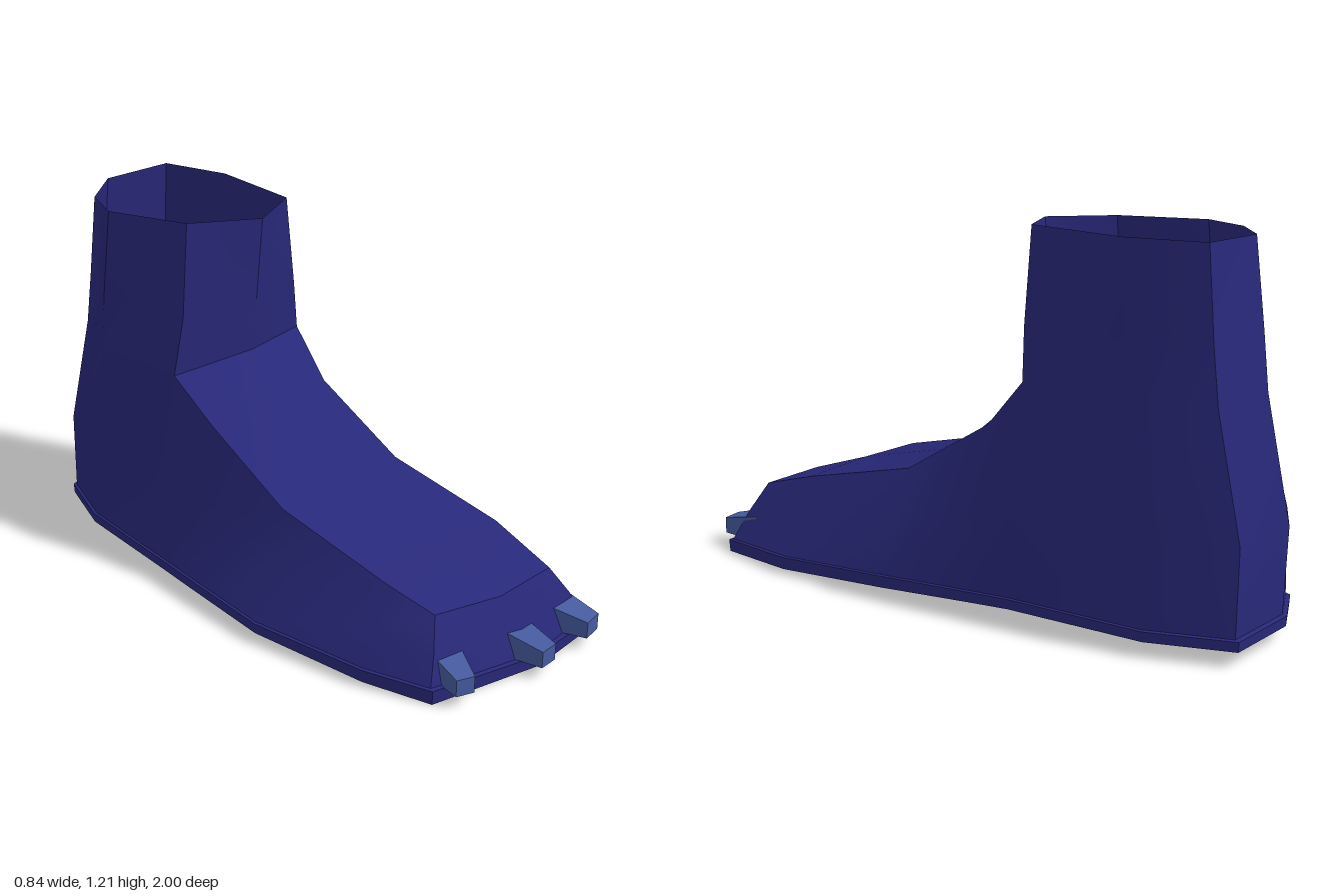
import * as THREE from 'three';
import { toCreasedNormals } from 'three/addons/utils/BufferGeometryUtils.js';

const bootBlue = new THREE.MeshStandardMaterial({ color: 0x28287a, side: THREE.DoubleSide });
bootBlue.name = 'boot blue';
const clawBlue = new THREE.MeshStandardMaterial({ color: 0x465a9e });
clawBlue.name = 'claw blue';

// Joins successive cross-sections with quads; returns a list of triangle corners.
function loft(rings, closed) {
  const out = [];
  for (let i = 0; i < rings.length - 1; i++) {
    const lo = rings[i], hi = rings[i + 1], n = lo.length;
    for (let j = 0; j < (closed ? n : n - 1); j++) {
      const k = (j + 1) % n;
      out.push(lo[k], lo[j], hi[j], lo[k], hi[j], hi[k]);
    }
  }
  return out;
}

function toMesh(name, corners, material, crease) {
  const geometry = new THREE.BufferGeometry();
  geometry.setAttribute('position', new THREE.Float32BufferAttribute(corners.flat(), 3));
  const mesh = new THREE.Mesh(toCreasedNormals(geometry, crease), material);
  mesh.name = name;
  return mesh;
}

// Foot columns, from the heel round the left side to the toes and back:
// welt, mid height, ridge (or ankle)
const columns = [
  [[-0.02, 0.085, -0.98], [-0.02, 0.36, -0.99], [-0.02, 0.75, -0.905]],
  [[0.24, 0.085, -0.96], [0.24, 0.36, -0.965], [0.245, 0.75, -0.885]],
  [[0.33, 0.085, -0.70], [0.337, 0.36, -0.69], [0.315, 0.78, -0.62]],
  [[0.345, 0.085, -0.24], [0.337, 0.36, -0.24], [0.27, 0.745, -0.24]],
  [[0.36, 0.083, -0.10], [0.337, 0.32, -0.10], [0.255, 0.59, -0.10]],
  [[0.39, 0.075, 0.22], [0.345, 0.22, 0.22], [0.265, 0.40, 0.21]],
  [[0.41, 0.06, 0.62], [0.35, 0.17, 0.62], [0.275, 0.305, 0.62]],
  [[0.35, 0.045, 0.925], [0.305, 0.14, 0.89], [0.245, 0.235, 0.85]],
  [[0.08, 0.042, 0.935], [0.04, 0.14, 0.89], [0, 0.235, 0.845]],
  [[-0.305, 0.05, 0.83], [-0.27, 0.14, 0.81], [-0.22, 0.235, 0.77]],
  [[-0.37, 0.06, 0.62], [-0.33, 0.18, 0.62], [-0.265, 0.30, 0.62]],
  [[-0.41, 0.07, 0.22], [-0.34, 0.20, 0.22], [-0.265, 0.40, 0.20]],
  [[-0.37, 0.082, -0.12], [-0.30, 0.31, -0.12], [-0.26, 0.59, -0.12]],
  [[-0.35, 0.085, -0.26], [-0.29, 0.36, -0.26], [-0.28, 0.72, -0.26]],
  [[-0.285, 0.085, -0.68], [-0.29, 0.36, -0.67], [-0.285, 0.75, -0.60]],
  [[-0.185, 0.085, -0.91], [-0.19, 0.36, -0.90], [-0.19, 0.75, -0.79]],
];
const level = (n) => columns.map((c) => c[n]);

function buildUpper() {
  const ridge = level(2);

  // Instep: strip over the top of the foot, from toes up to the ankle
  const middle = [[0, 0.31, 0.62], [0, 0.41, 0.21], [0, 0.67, -0.10], [0, 0.75, -0.19]];
  const instep = [[ridge[7], ridge[8], ridge[9]]];
  middle.forEach((m, i) => instep.push([ridge[6 - i], m, ridge[10 + i]]));

  // Shaft: ankle ring, bend, open rim
  const ankle = [ridge[0], ridge[1], ridge[2], ridge[3], middle[3], ridge[13], ridge[14], ridge[15]];
  const bend = [
    [-0.02, 0.93, -0.885], [0.245, 0.93, -0.865], [0.308, 0.93, -0.61], [0.24, 0.91, -0.225],
    [0, 0.93, -0.165], [-0.23, 0.9, -0.265], [-0.285, 0.93, -0.58], [-0.19, 0.93, -0.76],
  ];
  const rim = [
    [-0.02, 1.205, -0.85], [0.24, 1.21, -0.84], [0.283, 1.21, -0.59], [0.21, 1.21, -0.23],
    [0, 1.205, -0.135], [-0.19, 1.2, -0.28], [-0.267, 1.2, -0.56], [-0.19, 1.2, -0.72],
  ];

  const corners = [
    ...loft([level(0), level(1), ridge], true),
    ...loft(instep, false),
    ...loft([ankle, bend, rim], true),
  ];
  return toMesh('bootUpper', corners, bootBlue, 0.5);
}

// Sole: thin lip around the welt, dropping slightly towards the toes
function buildSole() {
  const welt = level(0);
  const lip = welt.map(([x, y, z]) => [x * 1.02, y - 0.003, z * 1.015]);
  const bottomY = (z) => (z < -0.2 ? 0.05 : z < 0.6 ? 0.05 - (z + 0.2) * 0.04 : Math.max(0, 0.018 - (z - 0.6) * 0.07));
  const base = lip.map(([x, , z]) => [x * 0.995, bottomY(z), z * 0.998]);
  const center = base.map(() => [0, 0.045, 0]);
  return toMesh('sole', loft([center, base, lip, welt], true), bootBlue, 0.4);
}

// Claw: box tapering forwards to a small, low tip
function buildClaw(name, x, z, width, yaw) {
  const geometry = new THREE.BoxGeometry(width, 0.09, 0.16).toNonIndexed();
  const p = geometry.attributes.position;
  for (let i = 0; i < p.count; i++) {
    const front = p.getZ(i) > 0, top = p.getY(i) > 0;
    if (front) p.setX(i, p.getX(i) * 0.55);
    if (top) p.setY(i, front ? 0.01 : 0.045);
  }
  geometry.computeVertexNormals();
  const claw = new THREE.Mesh(geometry, clawBlue);
  claw.name = name;
  claw.position.set(x, 0.09, z);
  claw.rotation.y = yaw;
  return claw;
}

export function createModel() {
  const model = new THREE.Group();
  model.name = 'clawedBoot';
  model.add(
    buildUpper(),
    buildSole(),
    buildClaw('rightClaw', -0.225, 0.845, 0.11, -0.4),
    buildClaw('middleClaw', 0.045, 0.92, 0.12, 0),
    buildClaw('leftClaw', 0.27, 0.92, 0.13, 0.12),
  );
  return model;
}
